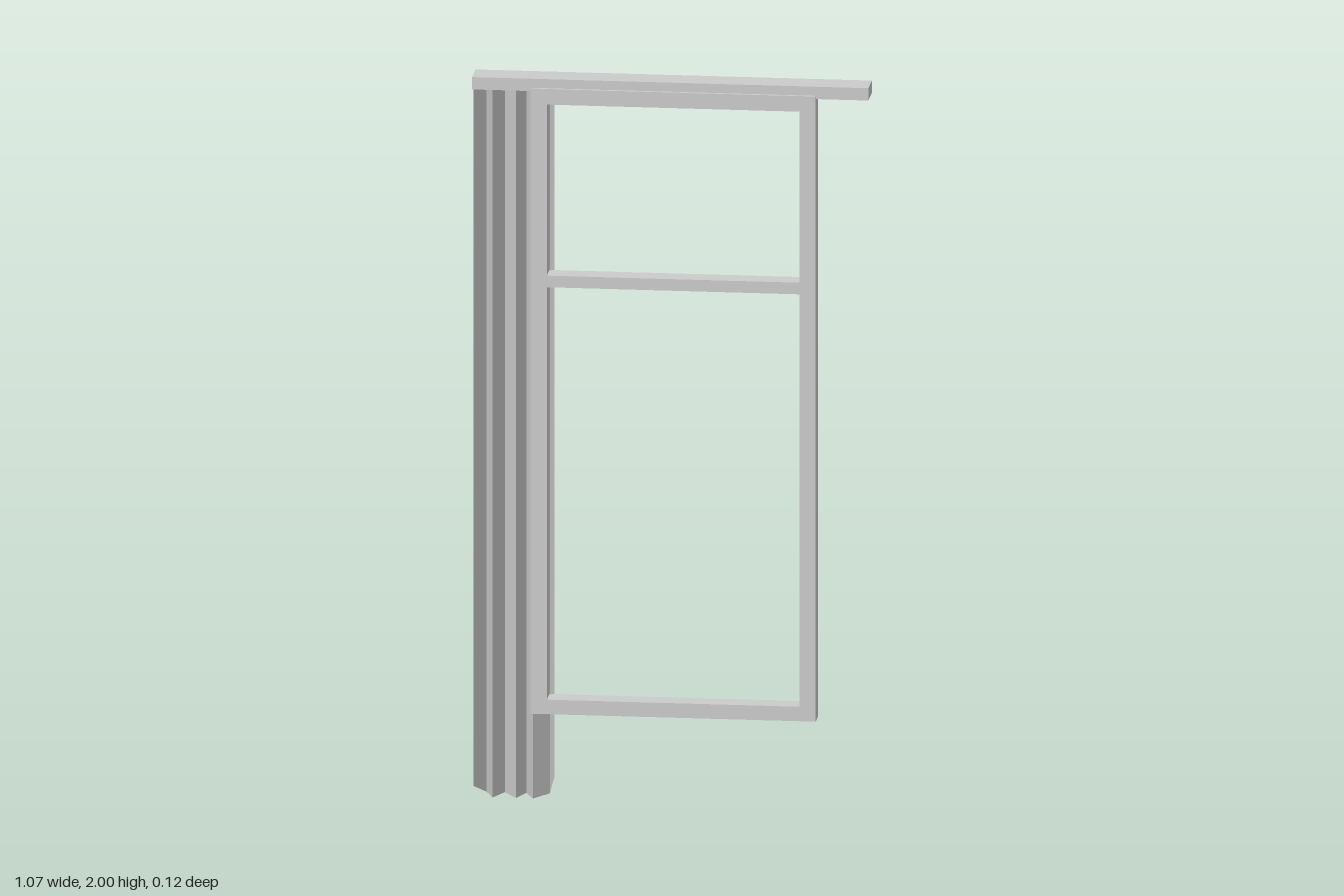
import * as THREE from 'three';

const material = new THREE.MeshStandardMaterial({ color: 0xcccccc, flatShading: true });
const sheetMaterial = new THREE.MeshStandardMaterial({ color: 0xcccccc, flatShading: true, side: THREE.DoubleSide });

// Closed rectangle outline
function rect(PathType, x0, x1, y0, y1) {
  const p = new PathType();
  p.moveTo(x0, y0);
  p.lineTo(x1, y0);
  p.lineTo(x1, y1);
  p.lineTo(x0, y1);
  p.closePath();
  return p;
}

// Window frame with an upper and a lower opening
function windowFrame() {
  const shape = rect(THREE.Shape, -0.375, 0.392, 0.25, 1.975);
  shape.holes.push(rect(THREE.Path, -0.331, 0.349, 0.29, 1.428));
  shape.holes.push(rect(THREE.Path, -0.331, 0.349, 1.46, 1.932));
  const mesh = new THREE.Mesh(new THREE.ExtrudeGeometry(shape, { depth: 0.062, bevelEnabled: false }), material);
  mesh.name = 'windowFrame';
  return mesh;
}

// Rail across the top
function topRail() {
  const mesh = new THREE.Mesh(new THREE.BoxGeometry(1.066, 0.034, 0.083), material);
  mesh.position.set(0, 1.983, 0.0125);
  mesh.name = 'topRail';
  return mesh;
}

// Pleated curtain: a zigzag sheet with its two outer bottom corners lifted
function curtain() {
  const xs = [-0.535, -0.507, -0.484, -0.458, -0.421, -0.4, -0.376, -0.337, -0.318];
  const last = xs.length - 1;
  const positions = [];
  const index = [];
  xs.forEach((x, i) => {
    const z = i % 2 ? -0.06 : 0;
    const bottom = i === 0 ? 0.03 : i === last ? 0.06 : 0;
    positions.push(x, bottom, z, x, 1.967, z);
    if (i < last) {
      const a = 2 * i;
      index.push(a, a + 2, a + 3, a, a + 3, a + 1);
    }
  });
  const indexed = new THREE.BufferGeometry();
  indexed.setAttribute('position', new THREE.Float32BufferAttribute(positions, 3));
  indexed.setIndex(index);
  const geometry = indexed.toNonIndexed();
  geometry.computeVertexNormals();
  const mesh = new THREE.Mesh(geometry, sheetMaterial);
  mesh.name = 'pleatedCurtain';
  return mesh;
}

export function createModel() {
  const model = new THREE.Group();
  model.name = 'curtainedWindow';
  model.add(windowFrame(), topRail(), curtain());
  return model;
}
